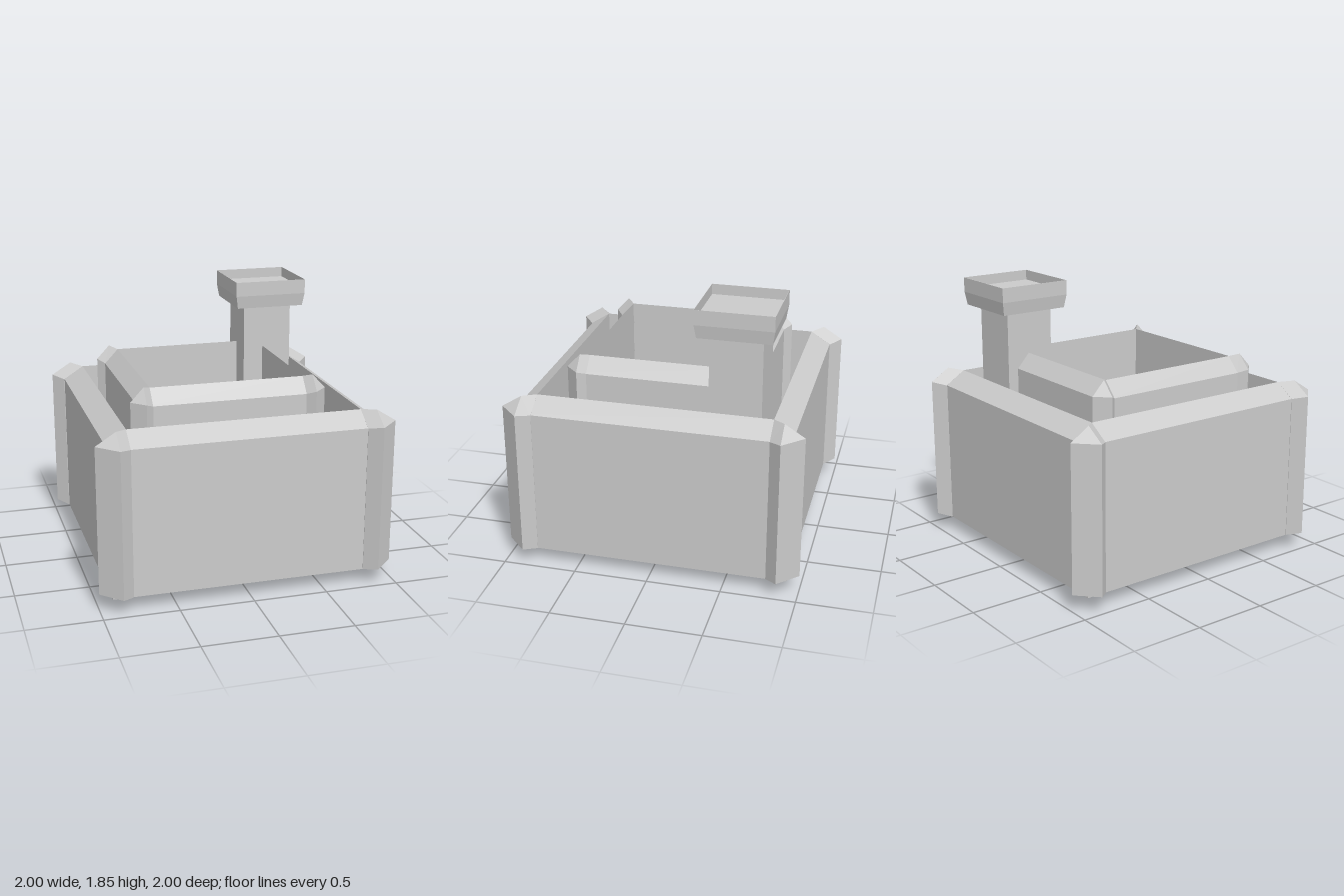
import * as THREE from 'three';

const material = new THREE.MeshStandardMaterial({ color: 0xcccccc, flatShading: true });
const FLOOR = 0.12;

// Skins a stack of loops (counter-clockwise seen from above); a one-point loop is an apex.
function loft(name, loops, { capBottom = false, capTop = false } = {}) {
  const pos = [];
  const tri = (a, b, c) => pos.push(...a, ...b, ...c);
  for (let k = 0; k < loops.length - 1; k++) {
    const lo = loops[k], hi = loops[k + 1];
    const n = Math.max(lo.length, hi.length);
    for (let i = 0; i < n; i++) {
      const j = (i + 1) % n;
      if (hi.length === 1) tri(lo[i], lo[j], hi[0]);
      else if (lo.length === 1) tri(lo[0], hi[j], hi[i]);
      else {
        tri(lo[i], lo[j], hi[j]);
        tri(lo[i], hi[j], hi[i]);
      }
    }
  }
  const first = loops[0], last = loops[loops.length - 1];
  if (capBottom) for (let i = 1; i < first.length - 1; i++) tri(first[0], first[i + 1], first[i]);
  if (capTop) for (let i = 1; i < last.length - 1; i++) tri(last[0], last[i], last[i + 1]);
  const geometry = new THREE.BufferGeometry();
  geometry.setAttribute('position', new THREE.Float32BufferAttribute(pos, 3));
  geometry.computeVertexNormals();
  const mesh = new THREE.Mesh(geometry, material);
  mesh.name = name;
  return mesh;
}

// Rectangular loop at height y
const rect = (cx, cz, hx, hz, y) => [
  [cx - hx, y, cz + hz], [cx + hx, y, cz + hz], [cx + hx, y, cz - hz], [cx - hx, y, cz - hz],
];

// Four walls with a coping that slopes down to the outside
function wallRing(name, cx, outer, inner, base, outerTop, innerTop) {
  return loft(name, [
    rect(cx, 0, ...outer, base),
    rect(cx, 0, ...outer, outerTop),
    rect(cx, 0, ...inner, innerTop),
    rect(cx, 0, ...inner, FLOOR),
  ]);
}

// Five-sided corner post, its chamfered face pointing diagonally outward
const POST = [[0, 0.135], [0.135, 0], [0.06, -0.08], [-0.08, -0.08], [-0.08, 0.06]];
function cornerPosts(name, cx, hx, hz, scale, bottoms, tops, bottomPeak, topPeak) {
  const group = new THREE.Group();
  group.name = name;
  for (const sx of [-1, 1]) {
    for (const sz of [-1, 1]) {
      const loop = (ys) => {
        const pts = POST.map(([x, z], i) => [cx + sx * (hx + x * scale), ys[i], sz * (hz + z * scale)]);
        return sx * sz > 0 ? pts : pts.reverse();
      };
      const centre = (y) => [[cx + sx * hx, y, sz * hz]];
      group.add(loft('cornerPost', [centre(bottomPeak), loop(bottoms), loop(tops), centre(topPeak)]));
    }
  }
  return group;
}

export function createModel() {
  const model = new THREE.Group();
  model.name = 'fort';

  // Shallow tapered base and courtyard floor
  model.add(loft('base', [
    rect(0, 0, 0.32, 0.32, 0),
    rect(0, 0, 0.92, 0.92, 0.095),
    rect(0, 0, 0.9, 0.9, FLOOR),
  ], { capBottom: true, capTop: true }));

  // Outer wall
  model.add(wallRing('outerWall', 0, [0.922, 0.922], [0.785, 0.785], 0.095, 1.09, 1.18));
  model.add(cornerPosts('outerPosts', 0, 0.865, 0.865, 1,
    [0.115, 0.115, 0.095, 0.08, 0.095], [1.11, 1.11, 1.09, 1.18, 1.09], 0.086, 1.195));

  // Inner wall, set slightly to one side
  model.add(wallRing('innerWall', -0.05, [0.613, 0.613], [0.52, 0.523], FLOOR, 1.26, 1.36));
  model.add(cornerPosts('innerPosts', -0.05, 0.572, 0.573, 0.66,
    Array(5).fill(FLOOR), [1.285, 1.285, 1.26, 1.36, 1.26], FLOOR, 1.38));

  // Tower shaft with a flared, thin-rimmed platform
  const level = (h, y) => rect(0.503, -0.513, h, h, y);
  model.add(loft('tower', [
    level(0.174, FLOOR), level(0.174, 1.66), level(0.242, 1.66), level(0.256, 1.75),
    level(0.256, 1.85), level(0.254, 1.85), level(0.254, 1.78),
  ], { capTop: true }));

  return model;
}
